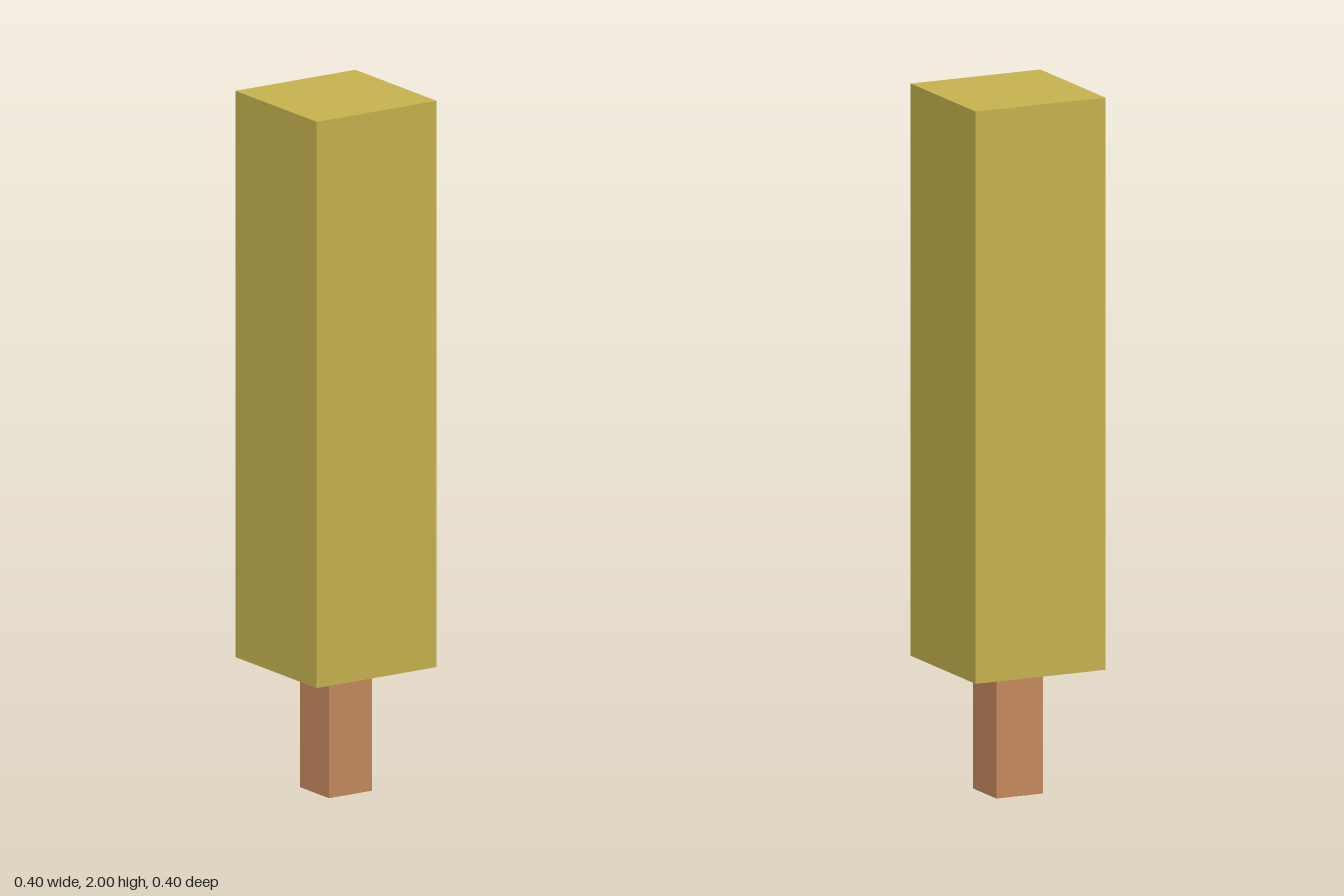
import * as THREE from 'three';

export function createModel() {
  const model = new THREE.Group();
  const add = (name, geometry, color, y) => {
    const material = new THREE.MeshStandardMaterial({ color, flatShading: true });
    const mesh = new THREE.Mesh(geometry, material);
    mesh.name = name;
    mesh.position.y = y;
    model.add(mesh);
  };

  const width = 0.404, stickWidth = 0.145, bodyBase = 0.366, height = 2;

  // Slim square stick, from the ground to the body
  add('stick', new THREE.BoxGeometry(stickWidth, bodyBase, stickWidth), 0xc98b60, bodyBase / 2);

  // Tall square body
  const bodyHeight = height - bodyBase;
  add('body', new THREE.BoxGeometry(width, bodyHeight, width), 0xc8b54f, bodyBase + bodyHeight / 2);

  // Green face closing the body from below
  add('underside', new THREE.PlaneGeometry(width, width).rotateX(Math.PI / 2), 0x4eae14, bodyBase - 0.002);

  return model;
}
